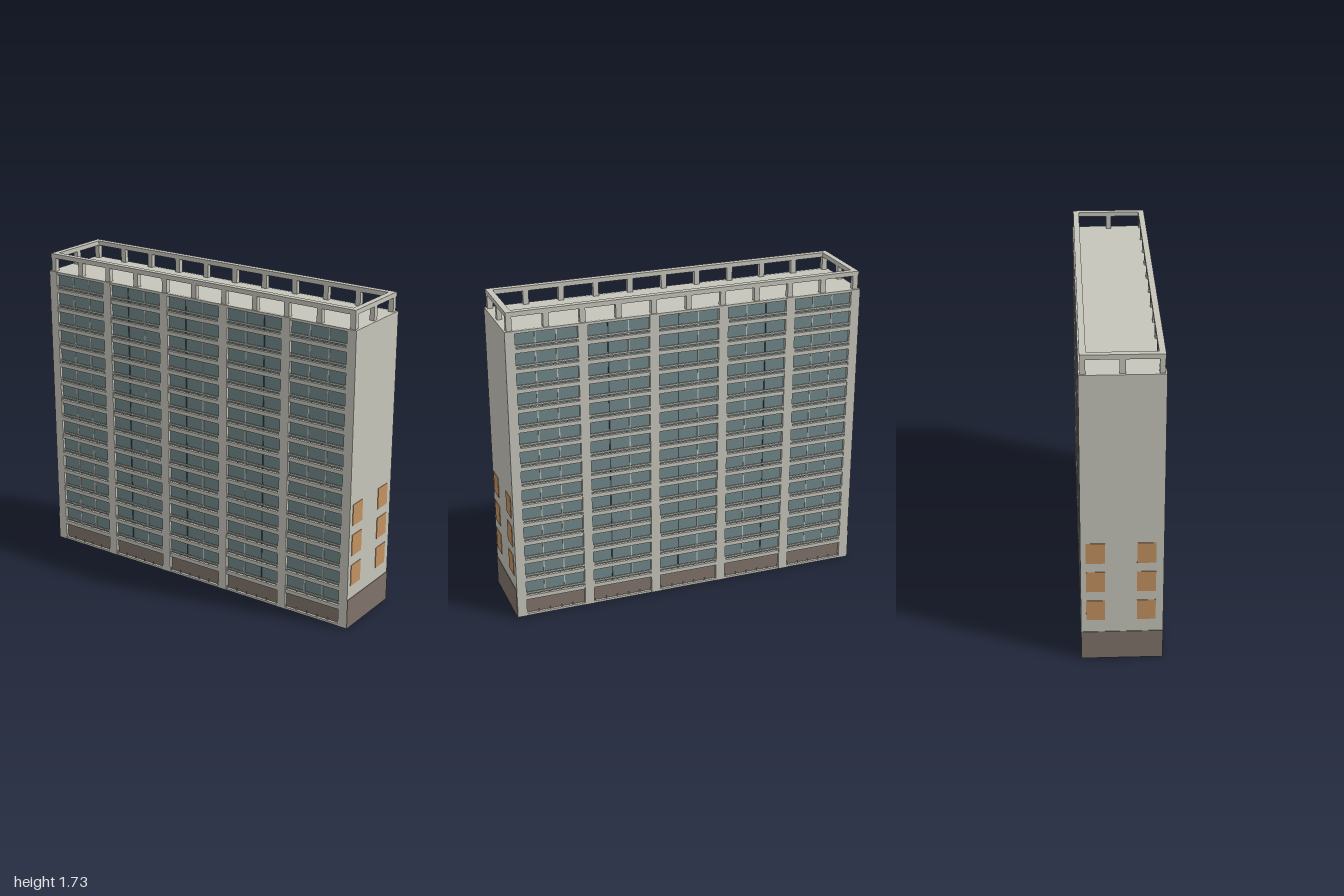
import * as THREE from 'three';
import { mergeGeometries } from 'three/addons/utils/BufferGeometryUtils.js';

const mat = (name, hex) => {
  const m = new THREE.MeshStandardMaterial({ color: hex });
  m.name = name;
  return m;
};

// A box given by its size and centre
const box = (w, h, d, x, y, z) => new THREE.BoxGeometry(w, h, d).translate(x, y, z);

export function createModel() {
  const concrete = mat('concrete', 0xc6c5bb);
  const glass = mat('tealGlass', 0x71878a);
  const brick = mat('brownBase', 0x80736a);
  const orange = mat('orangePanels', 0xc39260);
  const dark = mat('darkSlot', 0x3c4a4c);

  const L = 1.97, D = 0.42, H = 1.63, floors = 15, fh = H / floors;
  const bays = 5, pitch = 0.385, colW = 0.052, inset = 0.19;
  const bayW = pitch - colW;

  const building = new THREE.Group();
  building.name = 'building';
  const add = (parent, name, parts, material) => {
    const mesh = new THREE.Mesh(mergeGeometries(parts), material);
    mesh.name = name;
    parent.add(mesh);
  };

  // Solid core and the two full-depth end walls
  add(building, 'core', [box(L - 0.02, H, inset * 2, 0, H / 2, 0)], concrete);
  add(building, 'endWalls', [-1, 1].map(s =>
    box(colW, H, D, s * (L - colW) / 2, H / 2, 0)), concrete);

  // One long side with its end details; the second is turned by half a circle
  const makeSide = (name, turn) => {
    const side = new THREE.Group();
    side.name = name;
    side.rotation.y = turn;
    const columns = [], slabs = [], rails = [], posts = [], panes = [], base = [], fins = [], slots = [];

    for (let i = 1; i < bays; i++) {
      columns.push(box(colW, H, 0.03, (i - bays / 2) * pitch, H / 2, inset + 0.005));
    }
    for (let b = 0; b < bays; b++) {
      const cx = (b - (bays - 1) / 2) * pitch;
      base.push(box(bayW, fh, 0.006, cx, fh / 2, inset + 0.001));
      panes.push(box(bayW, H - fh, 0.006, cx, (H + fh) / 2, inset + 0.001));
      slabs.push(box(bayW, 0.012, 0.02, cx, 0.006, inset + 0.008));
      slabs.push(box(bayW, 0.014, 0.02, cx, H - 0.007, inset + 0.008));
      for (let f = 0; f < floors; f++) {
        const y = f * fh;
        if (f > 0) {
          slabs.push(box(bayW, 0.022, 0.02, cx, y, inset + 0.008));
          rails.push(box(bayW, 0.009, 0.006, cx, y + 0.029, D / 2 - 0.004));
        }
        // Railing posts
        for (let p = 0; p < 6; p++) {
          const px = cx + (p / 5 - 0.5) * (bayW - 0.01);
          posts.push(box(0.005, 0.026, 0.004, px, y + 0.016, D / 2 - 0.004));
        }
      }
      // Upright dividers at the thirds of each bay
      for (const t of [-1, 1]) {
        const isSlot = (b === 2 && t < 0) || (b === 1 && t < 0) || (b === 3 && t > 0);
        (isSlot ? slots : fins).push(
          box(0.006, H - fh - 0.02, 0.007, cx + t * bayW / 6, (H + fh) / 2, inset + 0.004));
      }
    }
    add(side, 'columns', columns, concrete);
    add(side, 'floorSlabs', slabs, concrete);
    add(side, 'balconyRails', rails, concrete);
    add(side, 'railingPosts', posts, concrete);
    add(side, 'windowDividers', fins, concrete);
    add(side, 'darkSlots', slots, dark);
    add(side, 'windows', panes, glass);
    add(side, 'groundFloorPanels', base, brick);

    // End wall: brown base and orange panels in two columns of three
    add(side, 'endBase', [box(0.006, 0.165, D, L / 2, 0.0825, 0)], brick);
    const panels = [];
    for (const z of [0.135, -0.123]) {
      for (const y of [0.298, 0.47, 0.64]) panels.push(box(0.006, 0.118, 0.096, L / 2, y, z));
    }
    add(side, 'endPanels', panels, orange);
    building.add(side);
  };
  makeSide('frontSide', 0);
  makeSide('backSide', Math.PI);

  // Open frame around the roof: posts below a ring beam
  const fw = 0.032, fx = (L - fw) / 2 - 0.01, fz = (D - fw) / 2 - 0.006;
  const roofPosts = [], beams = [];
  for (const s of [-1, 1]) {
    for (let i = 0; i <= 10; i++) {
      roofPosts.push(box(0.03, 0.08, 0.026, (i / 5 - 1) * fx, H + 0.038, s * fz));
    }
    roofPosts.push(box(0.026, 0.08, 0.03, s * fx, H + 0.038, 0));
    beams.push(box(fx * 2 + fw, 0.025, fw, 0, 1.7175, s * fz));
    beams.push(box(fw, 0.025, fz * 2 - fw, s * fx, 1.7175, 0));
  }
  add(building, 'roofPosts', roofPosts, concrete);
  add(building, 'roofBeams', beams, concrete);

  // The block stands at an angle to the axes
  building.rotation.y = -0.33;
  const model = new THREE.Group();
  model.name = 'apartmentBlock';
  model.add(building);
  return model;
}
